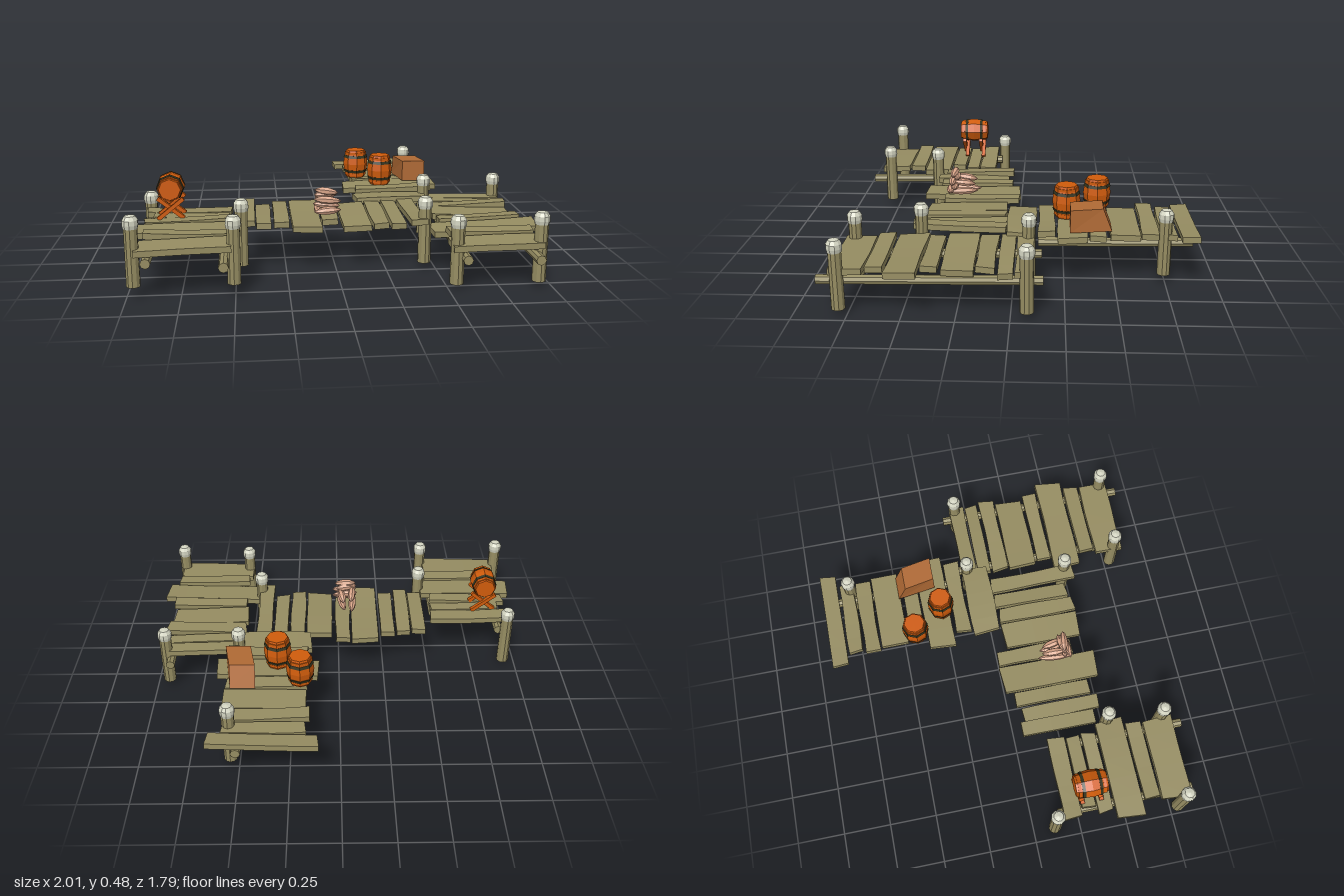
import * as THREE from 'three';

const mat = (name, color, extra = {}) => {
  const m = new THREE.MeshStandardMaterial({ color, flatShading: true, ...extra });
  m.name = name;
  return m;
};

export function createModel() {
  const wood = mat('weathered wood', 0x968d62);
  const capMat = mat('pale cap', 0xd2d3c0);
  const orange = mat('barrel orange', 0xd05c0c);
  const iron = mat('dark band', 0x34331d);
  const brown = mat('crate brown', 0xb06a35);
  const tan = mat('bundle tan', 0xd6a387);

  const model = new THREE.Group();
  model.name = 'dock';
  let seed = 7;
  const rand = () => {
    seed = (seed * 16807) % 2147483647;
    return (seed / 2147483647) * 2 - 1;
  };
  const group = (name, parent = model) => {
    const g = new THREE.Group();
    g.name = name;
    parent.add(g);
    return g;
  };
  const add = (parent, name, geo, material, x = 0, y = 0, z = 0) => {
    const m = new THREE.Mesh(geo, material);
    m.name = name;
    m.position.set(x, y, z);
    parent.add(m);
    return m;
  };

  // Slightly warped board filling the rectangle x0..x1, z0..z1, centred at height y
  function plank(parent, x0, x1, z0, z1, y, alongX) {
    const len = alongX ? x1 - x0 : z1 - z0;
    const wid = alongX ? z1 - z0 : x1 - x0;
    const geo = new THREE.BoxGeometry(len, 0.03, wid, 5, 1, 1);
    const p = geo.attributes.position;
    const bow = rand() * 0.006, wave = rand() * 0.004, skew = rand() * 0.007, phase = rand() * 3;
    for (let i = 0; i < p.count; i++) {
      const t = (p.getX(i) / len) * 2, s = Math.sign(p.getZ(i));
      p.setX(i, p.getX(i) + (Math.abs(t) > 0.99 ? skew * s * t : 0));
      p.setY(i, p.getY(i) + bow * t * t);
      p.setZ(i, p.getZ(i) + wave * Math.sin(t * 3 + phase + s) - s * 0.002);
    }
    geo.computeVertexNormals();
    const m = add(parent, 'plank', geo, wood, (x0 + x1) / 2, y, (z0 + z1) / 2);
    m.rotation.set(rand() * 0.06, alongX ? 0 : Math.PI / 2, rand() * 0.04, 'YXZ');
  }

  // Decks: each board as [x0, x1, z0, z1]
  const decks = [
    ['leftDeck', 0.24, true, [
      [-0.95, -0.52, 0.15, 0.245], [-0.91, -0.53, 0.25, 0.325], [-0.95, -0.53, 0.33, 0.41],
      [-1.0, -0.48, 0.42, 0.57], [-0.93, -0.52, 0.575, 0.66], [-0.95, -0.52, 0.67, 0.83]]],
    ['middleWalkway', 0.225, false, [
      [-0.48, -0.4, 0.035, 0.43], [-0.4, -0.32, 0.06, 0.47], [-0.31, -0.23, 0.035, 0.44],
      [-0.22, -0.07, -0.01, 0.51], [-0.065, 0.02, -0.01, 0.4], [0.035, 0.18, 0.05, 0.47],
      [0.185, 0.27, 0.05, 0.47], [0.28, 0.36, 0.04, 0.45], [0.37, 0.455, 0.04, 0.51]]],
    ['rightDeck', 0.218, true, [
      [0.51, 0.95, -0.105, -0.02], [0.515, 0.95, -0.015, 0.06], [0.515, 0.95, 0.07, 0.16],
      [0.51, 0.93, 0.165, 0.32], [0.53, 0.945, 0.33, 0.41], [0.47, 1.0, 0.42, 0.57],
      [0.53, 0.945, 0.575, 0.66], [0.515, 0.945, 0.67, 0.83]]],
    ['backDeck', 0.25, true, [
      [0.11, 0.635, -0.9, -0.81], [0.17, 0.57, -0.8, -0.72], [0.15, 0.57, -0.71, -0.625],
      [0.17, 0.585, -0.62, -0.47], [0.17, 0.58, -0.455, -0.37], [0.11, 0.635, -0.365, -0.215],
      [0.17, 0.585, -0.205, -0.12], [0.15, 0.54, -0.11, 0.04]]],
  ];
  for (const [name, y, alongX, boards] of decks) {
    const g = group(name);
    boards.forEach(([a, b, c, d], i) => {
      const sag = name === 'middleWalkway' ? 0.025 * (Math.abs((a + b) / 2) / 0.45) ** 2 * (a < 0 ? 1 : 0.2) : 0;
      plank(g, a, b, c, d, y + sag + (i % 2 ? -0.004 : 0.004) + rand() * 0.004, alongX);
    });
  }

  // Round beams under the decks: x, y, z0, z1
  const beams = group('beams');
  for (const [x, y, z0, z1] of [
    [-0.9, 0.19, 0.13, 0.85], [-0.55, 0.175, 0.33, 0.89],
    [0.58, 0.16, -0.14, 0.84], [0.91, 0.168, -0.15, 0.89], [0.5, 0.198, -0.88, -0.12]]) {
    const beam = add(beams, 'beam', new THREE.CylinderGeometry(0.024, 0.024, z1 - z0, 8), wood, x, y, (z0 + z1) / 2);
    beam.rotation.x = Math.PI / 2 + 0.01;
  }

  // Posts with rounded caps: x, z, bottom, top
  const capProfile = [[0, 0], [0.034, 0.002], [0.038, 0.02], [0.037, 0.042], [0.025, 0.06], [0, 0.066]]
    .map(([r, h]) => new THREE.Vector2(r, h));
  for (const [x, z, y0, y1] of [
    [-0.94, 0.115, 0, 0.345], [-0.965, 0.78, 0.06, 0.4], [-0.47, 0.49, 0.05, 0.39],
    [-0.505, 0.78, 0.06, 0.39], [0.445, 0.465, 0.03, 0.375], [0.54, 0.78, 0.025, 0.365],
    [0.935, 0.79, 0.03, 0.375], [0.54, -0.075, 0.02, 0.36], [0.935, -0.075, 0.025, 0.36],
    [0.54, -0.74, 0.05, 0.39]]) {
    const post = group('post');
    const h = y1 - 0.06 - y0;
    add(post, 'postShaft', new THREE.CylinderGeometry(0.032, 0.033, h, 10), wood, x, y0 + h / 2, z);
    add(post, 'postCap', new THREE.LatheGeometry(capProfile, 10), capMat, x, y1 - 0.066, z);
  }

  // Eight-sided barrel with two bands, centred on its own origin
  const barrelProfile = [[0, -0.5], [0.054, -0.5], [0.066, -0.25], [0.071, 0], [0.066, 0.25], [0.054, 0.5], [0, 0.5]];
  function barrel(name, h) {
    const g = group(name);
    const pts = barrelProfile.map(([r, t]) => new THREE.Vector2(r, t * h));
    add(g, 'barrelBody', new THREE.LatheGeometry(pts, 8), orange);
    for (const s of [-1, 1]) {
      const low = s < 0 ? 0.065 : 0.07, high = s < 0 ? 0.07 : 0.065;
      add(g, 'barrelBand', new THREE.CylinderGeometry(high, low, 0.015, 8), iron, 0, s * h * 0.27, 0);
      add(g, 'barrelRim', new THREE.CylinderGeometry(0.062, 0.062, 0.014, 8), orange, 0, s * (h / 2 - 0.018), 0);
    }
    return g;
  }
  barrel('uprightBarrel', 0.16).position.set(0.2, 0.355, -0.42);
  barrel('uprightBarrel', 0.17).position.set(0.32, 0.35, -0.26);
  const lying = barrel('lyingBarrel', 0.165);
  lying.position.set(-0.82, 0.41, 0.3);
  lying.rotation.set(Math.PI / 2, 0, 0);

  // Crossed legs under the lying barrel
  const stand = group('barrelStand');
  for (const z of [0.25, 0.35]) for (const s of [-1, 1]) {
    const leg = add(stand, 'standLeg', new THREE.BoxGeometry(0.165, 0.02, 0.022), orange, -0.82, 0.308, z + s * 0.008);
    leg.rotation.z = s * 0.68;
  }

  // Leaning crate, sheared sideways with a sloping back
  const crateGeo = new THREE.BoxGeometry(0.128, 0.115, 0.19);
  const cp = crateGeo.attributes.position;
  for (let i = 0; i < cp.count; i++) {
    const z = cp.getZ(i), up = cp.getY(i) > 0;
    cp.setX(i, cp.getX(i) + z * 0.16);
    if (z < 0) cp.setZ(i, z + (up ? 0.03 : -0.015));
  }
  crateGeo.computeVertexNormals();
  add(model, 'crate', crateGeo, brown, 0.505, 0.332, -0.37);

  // Stacked pile of tapered bundles: x, y, z, length, turn about y, tilt
  const pile = group('bundlePile');
  const spindle = [[0, -0.5], [0.4, -0.42], [0.95, -0.2], [1, 0.1], [0.6, 0.38], [0, 0.5]];
  for (const [x, y, z, len, turn, tilt] of [
    [-0.08, 0.278, 0.295, 0.19, 1.5, 0], [-0.02, 0.278, 0.3, 0.17, 1.75, 0], [-0.035, 0.282, 0.37, 0.14, 0.1, 0.05],
    [-0.04, 0.308, 0.345, 0.14, 0, -0.1], [-0.035, 0.334, 0.355, 0.14, 3.1, 0.08],
    [-0.045, 0.358, 0.335, 0.12, 0.2, -0.05], [-0.04, 0.378, 0.345, 0.12, 3, 0.12],
    [-0.075, 0.34, 0.285, 0.13, 1.5, -0.15], [-0.02, 0.325, 0.29, 0.12, 1.75, -0.15]]) {
    const pts = spindle.map(([r, t]) => new THREE.Vector2(r * 0.021, t * len));
    const geo = new THREE.LatheGeometry(pts, 7).rotateZ(Math.PI / 2);
    const b = add(pile, 'bundle', geo, tan, x, y, z);
    b.rotation.set(0, turn, tilt);
  }
  return model;
}
